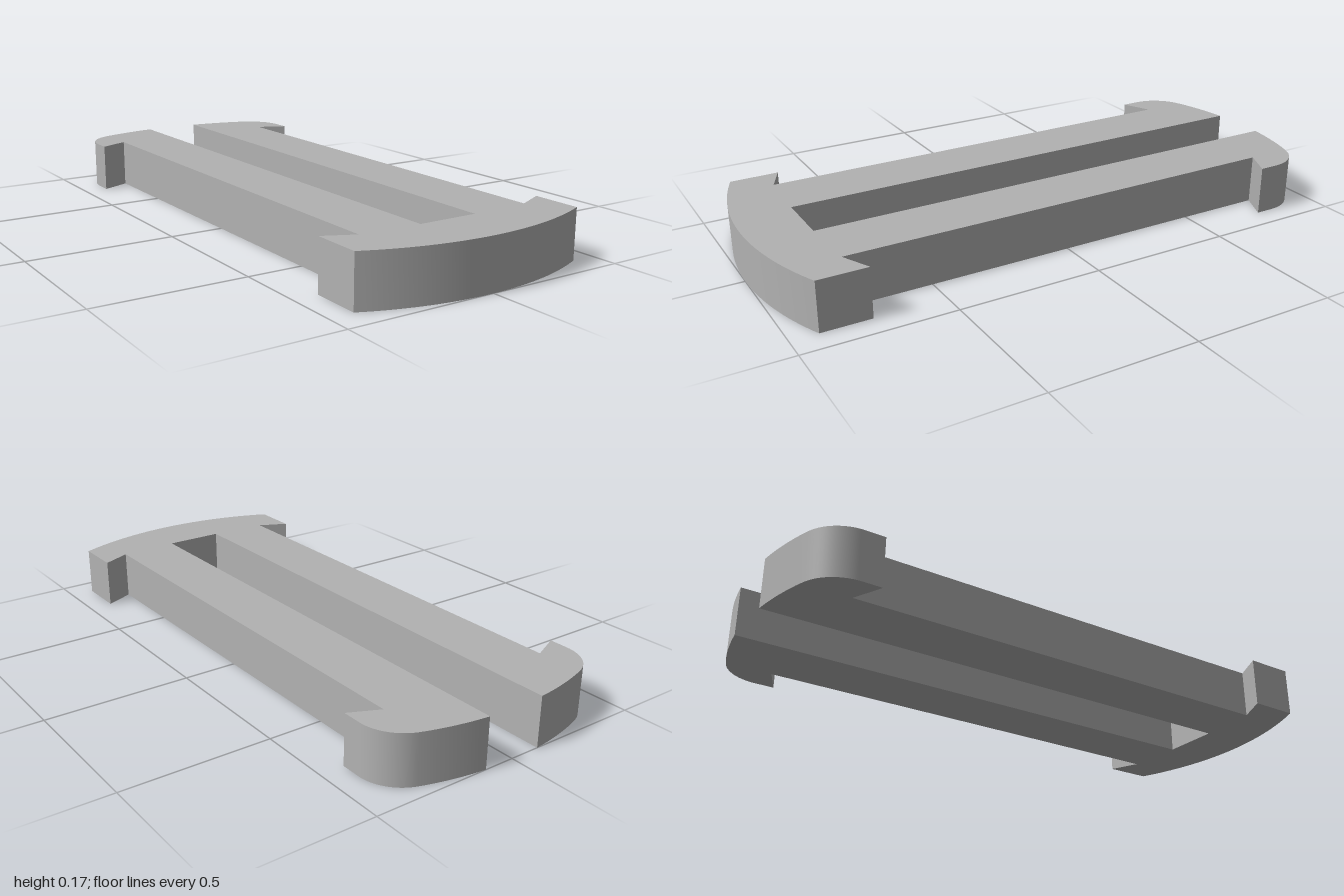
import * as THREE from 'three';
import { toCreasedNormals } from 'three/addons/utils/BufferGeometryUtils.js';

const HEIGHT = 0.17;
const RADIUS = 1.011; // curvature shared by both ends

// Points along an arc in the plan (plan y is -z)
function arc(cx, cy, r, from, to, steps) {
  return Array.from({ length: steps + 1 }, (_, i) => {
    const a = from + (to - from) * i / steps;
    return new THREE.Vector2(cx + r * Math.cos(a), cy + r * Math.sin(a));
  });
}

export function createModel() {
  const group = new THREE.Group();
  group.name = 'splitClip';
  const grey = new THREE.MeshStandardMaterial({ color: 0xb2b2b2 });
  grey.name = 'light grey';

  const p = (x, y) => new THREE.Vector2(x, y);
  const down = -Math.PI / 2;

  // Half outline: curved head, prong, barbed tip, then back down the slot
  const half = [
    ...arc(0, RADIUS - 1, RADIUS, down, down + Math.asin(0.417 / RADIUS), 16),
    p(0.417, -0.742), p(0.315, -0.79),
    p(0.315, 0.797), p(0.417, 0.75),
    ...arc(0.272, 0.816, 0.145, 0, 1.253, 14),
    ...arc(0, -0.0056, RADIUS, Math.acos(0.317 / RADIUS), Math.acos(0.104 / RADIUS), 8).slice(1),
    p(0.104, -0.8),
  ];
  const mirrored = half.slice(1).reverse().map((v) => p(-v.x, v.y));

  const geometry = new THREE.ExtrudeGeometry(new THREE.Shape([...half, ...mirrored]), {
    depth: HEIGHT, bevelEnabled: false,
  });
  geometry.rotateX(-Math.PI / 2);

  const body = new THREE.Mesh(toCreasedNormals(geometry, 0.25), grey);
  body.name = 'clipBody';
  group.add(body);
  return group;
}
